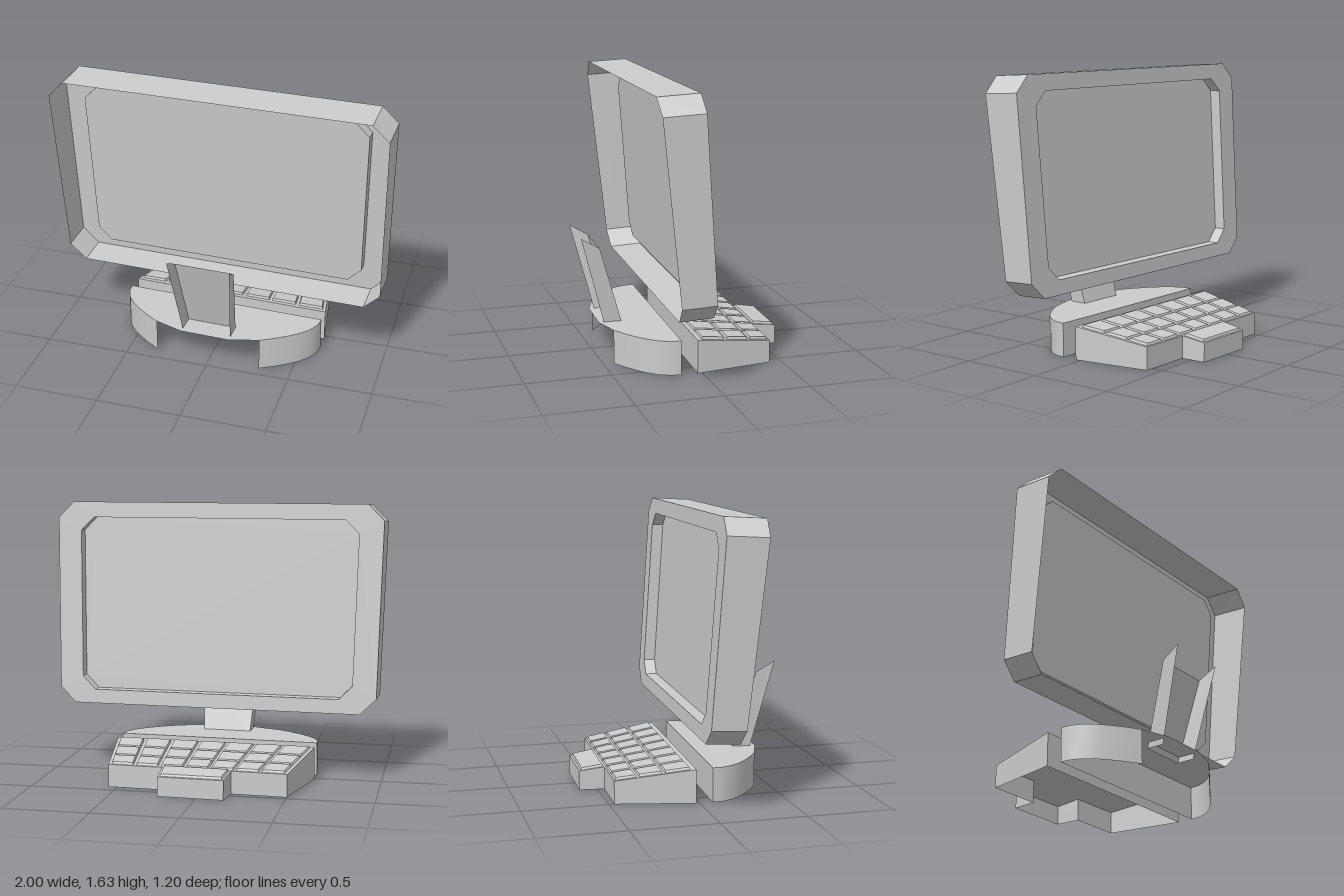
import * as THREE from 'three';
import { toCreasedNormals } from 'three/addons/utils/BufferGeometryUtils.js';

const material = new THREE.MeshStandardMaterial({ color: 0xcccccc, side: THREE.DoubleSide });

// Skin between successive loops of [x, y, z] points; flat(p) gives 2D points to cap the last loop.
function loft(name, loops, { closed = true, flat = null, crease = 0.3 } = {}) {
  const n = loops[0].length;
  const index = [];
  for (let i = 0; i < loops.length - 1; i++) {
    for (let j = 0; j < (closed ? n : n - 1); j++) {
      const a = i * n + j, b = i * n + (j + 1) % n;
      index.push(a, b, b + n, a, b + n, a + n);
    }
  }
  if (flat) {
    const base = (loops.length - 1) * n;
    const contour = loops[loops.length - 1].map((p) => new THREE.Vector2(...flat(p)));
    for (const f of THREE.ShapeUtils.triangulateShape(contour, [])) index.push(...f.map((k) => k + base));
  }
  const geometry = new THREE.BufferGeometry();
  geometry.setAttribute('position', new THREE.Float32BufferAttribute(loops.flat(2), 3));
  geometry.setIndex(index);
  const mesh = new THREE.Mesh(toCreasedNormals(geometry, crease), material);
  mesh.name = name;
  return mesh;
}

const fromAbove = ([x, , z]) => [x, -z];
const fromBack = ([x, y]) => [-x, y];

// Octagon with cut corners, anticlockwise as seen from -z; z follows the tilted plane.
function octagon(wTop, wBottom, yTop, yBottom, cut, zAt) {
  const side = [[wTop - cut, yTop], [wTop, yTop - cut], [wBottom, yBottom + cut], [wBottom - cut, yBottom]];
  const other = side.map(([x, y]) => [-x, y]).reverse();
  return [...side, ...other].map(([x, y]) => [x, y, zAt(y)]);
}

function createMonitor() {
  const group = new THREE.Group();
  group.name = 'monitor';
  const frontZ = (y) => -0.01 + (y - 0.405) * 0.069;
  const backZ = (y) => 0.185 + (y - 0.395) * 0.106;
  const recessZ = (y) => frontZ(y) + 0.07;
  const opening = (zAt) => octagon(0.85, 0.83, 1.54, 0.49, 0.08, zAt);
  // Open-backed casing with bezel, then the sunken screen
  group.add(loft('casing', [
    octagon(0.995, 0.972, 1.62, 0.395, 0.095, backZ),
    octagon(0.995, 0.972, 1.633, 0.405, 0.095, frontZ),
    opening(frontZ),
  ]));
  group.add(loft('screen', [opening(frontZ), opening(recessZ)], { flat: fromBack }));
  return group;
}

function createBase() {
  const group = new THREE.Group();
  group.name = 'base';
  const arc = [[0.61, 0.1], [0.605, 0.16], [0.575, 0.225], [0.525, 0.285], [0.47, 0.33],
    [0.4, 0.38], [0.32, 0.427], [0.15, 0.48]];
  const at = (points, y) => points.map(([x, z]) => [x, y, z]);
  const mirror = (points) => points.map(([x, z]) => [-x, z]);
  // Rounded top plate
  const outline = [...mirror(arc), ...[...arc].reverse()];
  group.add(loft('baseTop', [at(outline, 0.2)], { flat: fromAbove }));
  // Curved side walls, open in the middle
  const wall = arc.slice(0, 7);
  const sides = { leftBaseWall: [...wall].reverse(), rightBaseWall: mirror(wall) };
  for (const [name, points] of Object.entries(sides)) {
    group.add(loft(name, [at(points, 0), at(points, 0.2)], { closed: false, crease: 0.7 }));
  }
  // Straight wall behind the keyboard
  const chord = [[0.61, 0.1], [-0.61, 0.1]];
  group.add(loft('baseRearWall', [at(chord, 0), at(chord, 0.2)], { closed: false }));
  return group;
}

// Leaning U-shaped channel
function createStand() {
  const bottom = [[-0.145, 0.165, 0.44], [-0.145, 0.165, 0.333], [0.145, 0.165, 0.333], [0.145, 0.165, 0.44]];
  const top = [[-0.188, 0.72, 0.585], [-0.178, 0.655, 0.475], [0.178, 0.655, 0.475], [0.188, 0.72, 0.585]];
  return loft('stand', [bottom, top], { closed: false });
}

function createKeyboard() {
  const group = new THREE.Group();
  group.name = 'keyboard';
  const surface = (z) => 0.195 + z * 0.137;
  const halfWidth = (z) => 0.61 + z * 0.185;

  // Hollow wedge body with a tab at the typing edge
  const side = [[0.61, 0.005], [0.527, -0.45], [0.203, -0.45], [0.192, -0.597]];
  const outline = [...side, ...side.map(([x, z]) => [-x, z]).reverse()];
  group.add(loft('keyboardBody', [
    outline.map(([x, z]) => [x, 0, z]),
    outline.map(([x, z]) => [x, surface(z), z]),
  ], { flat: fromAbove }));

  // A key spans u0..u1 (-1..1) of the width at each depth
  function key(name, u0, u1, zNear, zFar, widthAt) {
    const loop = (inset, lift) => [[u1, zNear, -1, -1], [u1, zFar, -1, 1], [u0, zFar, 1, 1], [u0, zNear, 1, -1]]
      .map(([u, z, sx, sz]) => [u * widthAt(z) + sx * inset, surface(z) + lift, z + sz * inset]);
    group.add(loft(name, [loop(0, 0), loop(0.005, 0.014)], { flat: fromAbove }));
  }
  const columns = 7;
  for (const [zNear, zFar] of [[-0.025, -0.165], [-0.18, -0.31], [-0.325, -0.44]]) {
    for (let c = 0; c < columns; c++) {
      const u = -1 + (2 * c) / columns;
      key('key', u + 0.016, u + 2 / columns - 0.016, zNear, zFar, (z) => halfWidth(z) - 0.01);
    }
  }
  key('wideKey', -1, 1, -0.455, -0.585, (z) => 0.19 + (z + 0.45) * 0.07);
  return group;
}

export function createModel() {
  const model = new THREE.Group();
  model.name = 'computerTerminal';
  model.add(createMonitor(), createBase(), createStand(), createKeyboard());
  // Whole set stands slightly turned
  model.rotation.y = -0.039;
  model.position.x = 0.006;
  return model;
}
